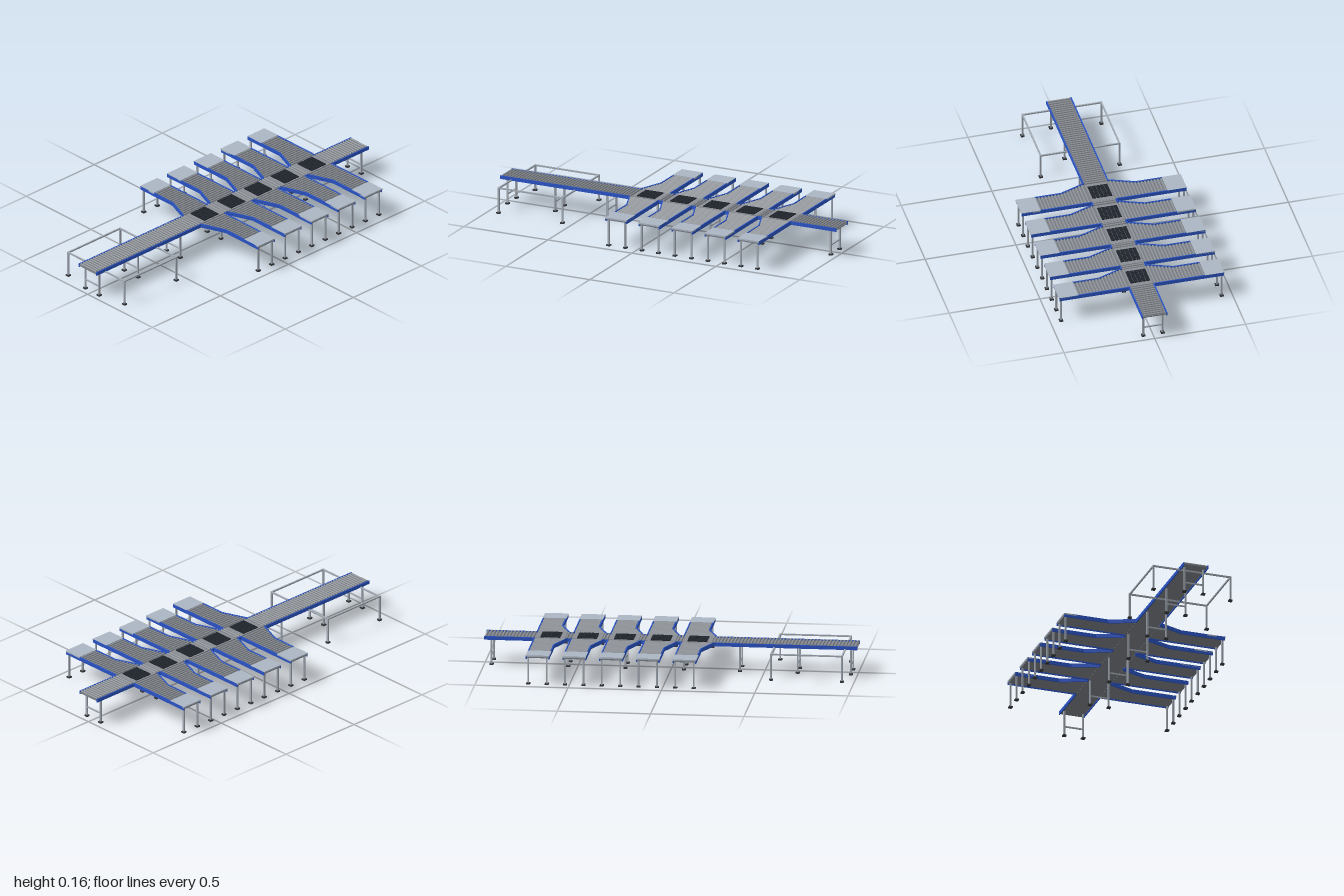
import * as THREE from 'three';

const mat = (name, color) => {
  const m = new THREE.MeshStandardMaterial({ color });
  m.name = name;
  return m;
};

export function createModel() {
  const blue = mat('blue rail', 0x2a54c6);
  const deckGrey = mat('deck grey', 0x7c8088);
  const rollerGrey = mat('roller grey', 0x8a8f95);
  const steel = mat('leg steel', 0xa4acb6);
  const plateGrey = mat('plate grey', 0xabb5c3);
  const black = mat('grate black', 0x20252d);
  const rubber = mat('foot rubber', 0x35373b);

  const model = new THREE.Group();
  model.name = 'conveyorSorter';

  const add = (parent, name, geo, material, x, y, z) => {
    const m = new THREE.Mesh(geo, material);
    m.name = name;
    m.position.set(x, y, z);
    parent.add(m);
    return m;
  };
  const box = (parent, name, material, w, h, d, x, y, z) =>
    add(parent, name, new THREE.BoxGeometry(w, h, d), material, x, y, z);
  const group = (name) => {
    const g = new THREE.Group();
    g.name = name;
    model.add(g);
    return g;
  };

  // Upright rail joining two points on the floor plan, standing on y = 0.14
  const RAIL = 0.006;
  const rail = (parent, height, x1, z1, x2, z2) => {
    const len = Math.hypot(x2 - x1, z2 - z1);
    const m = box(parent, 'sideRail', blue, len, height, RAIL, (x1 + x2) / 2, 0.14 + height / 2, (z1 + z2) / 2);
    m.rotation.y = -Math.atan2(z2 - z1, x2 - x1);
  };

  // Square leg on a rubber foot
  const leg = (parent, x, z, top = 0.147) => {
    box(parent, 'leg', steel, 0.009, top - 0.008, 0.009, x, (top + 0.008) / 2, z);
    box(parent, 'foot', rubber, 0.02, 0.008, 0.02, x, 0.004, z);
  };

  const RADIUS = 0.006;
  const crossRoller = (parent, z) => {
    const geo = new THREE.CylinderGeometry(RADIUS, RADIUS, 0.122, 10).rotateZ(Math.PI / 2);
    add(parent, 'roller', geo, rollerGrey, 0, 0.1565, z);
  };

  const starts = [0, 1, 2, 3, 4].map((i) => 0.055 - i * 0.1968); // back edge of each branch
  const WIDTH = 0.126, FLARE = 0.18;

  // Main line: deck, rollers, rails, legs
  const main = group('mainConveyor');
  box(main, 'mainDeck', deckGrey, 0.13, 0.006, 1.998, 0, 0.149, 0);
  for (let z = -0.99; z < 0.995; z += 0.018) {
    if (!starts.some((s) => z > s + 0.004 && z < s + 0.165)) crossRoller(main, z);
  }
  const cuts = [1, ...starts.flatMap((s) => [s + FLARE, s]), -1];
  for (let i = 0; i < cuts.length; i += 2) {
    for (const s of [-1, 1]) rail(main, 0.019, s * 0.067, cuts[i], s * 0.067, cuts[i + 1]);
  }
  for (const z of [0.965, 0.68, 0.37, 0.07, -0.243, -0.55, -0.96]) {
    for (const s of [-1, 1]) leg(main, s * 0.053, z);
    box(main, 'legBrace', steel, 0.1, 0.007, 0.007, 0, 0.0565, z);
  }

  // Transfer modules: plate carrying a raised grid of dark pads
  const modules = group('transferModules');
  for (const s of starts) {
    const zc = s + 0.0865;
    box(modules, 'transferPlate', rollerGrey, 0.126, 0.007, 0.158, 0, 0.1545, zc);
    for (let i = -2; i <= 2; i++) {
      for (let j = -2; j <= 2; j++) {
        box(modules, 'transferPad', black, 0.0195, 0.005, 0.0195, i * 0.0222, 0.1605, zc + j * 0.0215);
      }
    }
  }

  // Branch chutes on both sides, flared where they leave the main line
  const INNER = 0.066, BEND = 0.205, OUTER = 0.453;
  const frontEdge = (x) =>
    x > BEND ? WIDTH : WIDTH + ((FLARE - WIDTH) * (BEND - x)) / (BEND - INNER);

  for (const z0 of starts) {
    for (const s of [-1, 1]) {
      const b = group(s > 0 ? 'leftBranch' : 'rightBranch');
      b.position.z = z0;

      const shape = new THREE.Shape([
        [INNER, 0.003], [OUTER - 0.001, 0.003], [OUTER - 0.001, WIDTH - 0.003],
        [BEND, WIDTH - 0.003], [INNER, FLARE - 0.003],
      ].map(([x, z]) => new THREE.Vector2(s * x, z)));
      const deck = new THREE.ExtrudeGeometry(shape, { depth: 0.006, bevelEnabled: false });
      add(b, 'branchDeck', deck.rotateX(Math.PI / 2), deckGrey, 0, 0.152, 0);

      rail(b, 0.0205, s * INNER, RAIL / 2, s * OUTER, RAIL / 2);
      rail(b, 0.0205, s * BEND, WIDTH - RAIL / 2, s * OUTER, WIDTH - RAIL / 2);
      rail(b, 0.0205, s * INNER, FLARE - RAIL / 2, s * BEND, WIDTH - RAIL / 2);

      for (let x = 0.078; x < 0.348; x += 0.0178) {
        const len = frontEdge(x) - 0.015;
        const geo = new THREE.CylinderGeometry(RADIUS, RADIUS, len, 10).rotateX(Math.PI / 2);
        add(b, 'roller', geo, rollerGrey, s * x, 0.154, 0.007 + len / 2);
      }
      box(b, 'endPlate', plateGrey, 0.105, 0.008, WIDTH, s * 0.4025, 0.157, WIDTH / 2);
      for (const z of [0.013, 0.112]) leg(b, s * 0.442, z);
    }
  }

  // Open support frame around the infeed end
  const frame = group('infeedFrame');
  for (const s of [-1, 1]) {
    box(frame, 'frameSideBar', steel, 0.008, 0.008, 0.38, s * 0.217, 0.142, 0.745);
    for (const z of [0.555, 0.935]) leg(frame, s * 0.217, z, 0.146);
  }
  for (const z of [0.555, 0.935]) box(frame, 'frameCrossBar', steel, 0.434, 0.008, 0.008, 0, 0.1415, z);

  return model;
}
